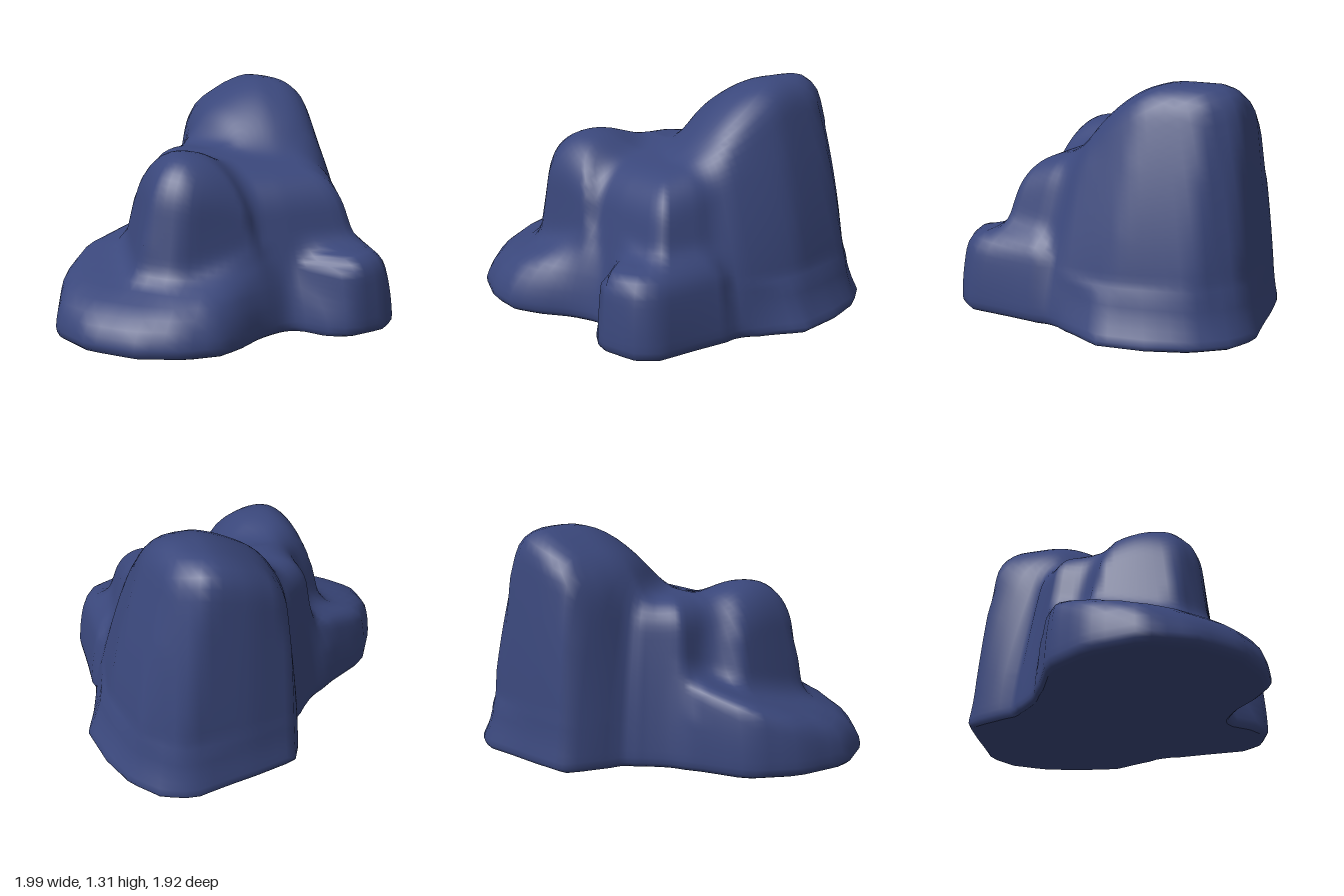
import * as THREE from 'three';

const stone = new THREE.MeshStandardMaterial({ color: 0x3a477b });
stone.name = 'blue stone';

// A lump rises from a foot outline (x, z pairs) to the same outline fitted into a smaller
// crown box (x0, x1, z0, z1), and is capped by a sloping top.
function lump(foot, [x0, x1, z0, z1], power, round, top) {
  const box = new THREE.Box2().setFromPoints(foot.map(([x, z]) => new THREE.Vector2(x, z)));
  const size = box.getSize(new THREE.Vector2());
  const crown = foot.map(([x, z]) => [
    x0 + ((x - box.min.x) / size.x) * (x1 - x0),
    z0 + ((z - box.min.y) / size.y) * (z1 - z0),
  ]);
  return { foot, crown, power, round, top };
}

const crag = lump(
  [[-.2, -.3], [-.18, -.6], [-.1, -.82], [.2, -.88], [.6, -.9], [.81, -.72], [.9, -.3], [.87, .1], [.7, .4], [.2, .4]],
  [-.09, .58, -.78, .25], 1.5, .15,
  (x, z) => 1.31 - .8 * Math.max(0, .35 - x) ** 1.5 - 1.2 * Math.max(0, z + .45) ** 2);
const shoulder = lump(
  [[-.45, -.28], [-.35, -.37], [-.24, -.48], [.3, -.5], [.8, -.1], [.83, .3], [.8, .6], [.35, .64], [-.45, .66]],
  [-.33, .6, -.36, .48], 1.2, .18, (x, z) => .94 - .25 * Math.max(0, z));
const knob = lump(
  [[-.67, -.02], [-.3, -.25], [.1, .1], [.12, .62], [-.4, .68], [-.64, .55]],
  [-.46, .02, -.04, .61], 1.2, .18,
  (x, z) => .985 - 1.2 * (x + .28) ** 2 - 1.2 * (z - .32) ** 2);
const ledge = lump(
  [[-1.01, .47], [-.96, .15], [-.81, -.1], [-.5, -.26], [0, -.2], [.2, .62], [-.07, .87], [-.2, .955], [-.4, .97], [-.65, .9], [-.88, .72]],
  [-.95, .1, -.2, .84], 2.5, .09, (x, z) => .55 + .2 * x - .24 * z);
const buttress = lump(
  [[.28, .3], [.3, .55], [.47, .79], [.59, .815], [.79, .75], [.87, .65], [.86, .2]],
  [.38, .8, .2, .77], 2, .12, () => .45);
const flare = lump(
  [[-.06, -.85], [.28, -.92], [.55, -.985], [.74, -.92], [.88, -.75], [.97, -.54], [1.025, -.25], [.9, 0], [.1, -.4]],
  [0, .87, -.87, 0], .8, .03, () => .22);
const lumps = [crag, shoulder, knob, ledge, buttress, flare];

const smin = (a, b, k) => Math.min(a, b) - Math.max(k - Math.abs(a - b), 0) ** 2 / (4 * k);
const smax = (a, b, k) => -smin(-a, -b, k);

// Signed distance to the outline between foot and crown at fraction t
function outlineDistance({ foot, crown }, t, x, z) {
  const n = foot.length;
  let best = Infinity, inside = false;
  for (let i = 0, j = n - 1; i < n; j = i++) {
    const ax = foot[i][0] + (crown[i][0] - foot[i][0]) * t, az = foot[i][1] + (crown[i][1] - foot[i][1]) * t;
    const bx = foot[j][0] + (crown[j][0] - foot[j][0]) * t, bz = foot[j][1] + (crown[j][1] - foot[j][1]) * t;
    const ex = bx - ax, ez = bz - az, px = x - ax, pz = z - az;
    const s = Math.min(1, Math.max(0, (px * ex + pz * ez) / (ex * ex + ez * ez)));
    best = Math.min(best, (px - ex * s) ** 2 + (pz - ez * s) ** 2);
    if ((az > z) !== (bz > z) && x < ax + (ex * (z - az)) / ez) inside = !inside;
  }
  return (inside ? -1 : 1) * Math.sqrt(best);
}

// All lumps blended together
function field(x, y, z) {
  const parts = lumps.map((part) => {
    const h = part.top(x, z);
    const t = Math.min(1, Math.max(0, y / Math.max(h, .05))) ** part.power;
    return smax(outlineDistance(part, t, x, z), y - h, part.round);
  });
  return parts.reduce((a, b) => smin(a, b, .11));
}

const CX = .1, CY = .25, CZ = .05, SIDES = 96, DOME = 36;

// Distance from the inner axis to the surface along a direction
function reach(y, dx, dy, dz) {
  const outside = (r) => field(CX + dx * r, y + dy * r, CZ + dz * r) > 0;
  let hi = .1;
  while (hi < 2 && !outside(hi)) hi += .04;
  let lo = hi - .04;
  for (let i = 0; i < 9; i++) {
    const mid = (lo + hi) / 2;
    if (outside(mid)) hi = mid; else lo = mid;
  }
  return lo;
}

// Heights and radius factors of the lower wall, tucked in at the rim
const SKIRT = [[.2, 1], [.15, 1], [.1, 1], [.06, 1], [.03, .995], [.01, .975], [0, .95]];

function rockGeometry() {
  const pos = [CX, CY + reach(CY, 0, 1, 0), CZ], index = [];
  const rows = DOME + SKIRT.length;
  for (let r = 0; r < rows; r++) {
    for (let i = 0; i < SIDES; i++) {
      const a = (i / SIDES) * Math.PI * 2, c = Math.cos(a), s = Math.sin(a);
      if (r < DOME) { // upper dome
        const e = (Math.PI / 2) * (1 - (r + 1) / DOME);
        const dx = c * Math.cos(e), dy = Math.sin(e), dz = s * Math.cos(e);
        const d = reach(CY, dx, dy, dz);
        pos.push(CX + dx * d, CY + dy * d, CZ + dz * d);
      } else { // lower wall
        const [y, k] = SKIRT[r - DOME];
        const d = reach(y, c, 0, s) * k;
        pos.push(CX + c * d, y, CZ + s * d);
      }
    }
  }
  const at = (r, i) => 1 + r * SIDES + (i % SIDES);
  for (let i = 0; i < SIDES; i++) {
    index.push(0, at(0, i + 1), at(0, i));
    for (let r = 0; r < rows - 1; r++) {
      index.push(at(r, i), at(r, i + 1), at(r + 1, i), at(r, i + 1), at(r + 1, i + 1), at(r + 1, i));
    }
  }
  // flat underside
  const rim = pos.slice(-SIDES * 3), base = pos.length / 3;
  pos.push(...rim, CX, 0, CZ);
  for (let i = 0; i < SIDES; i++) index.push(base + SIDES, base + i, base + ((i + 1) % SIDES));

  const g = new THREE.BufferGeometry();
  g.setAttribute('position', new THREE.Float32BufferAttribute(pos, 3));
  g.setIndex(index);
  g.computeVertexNormals();
  return g;
}

export function createModel() {
  const group = new THREE.Group();
  group.name = 'boulder';
  const rock = new THREE.Mesh(rockGeometry(), stone);
  rock.name = 'rock';
  group.add(rock);
  return group;
}
